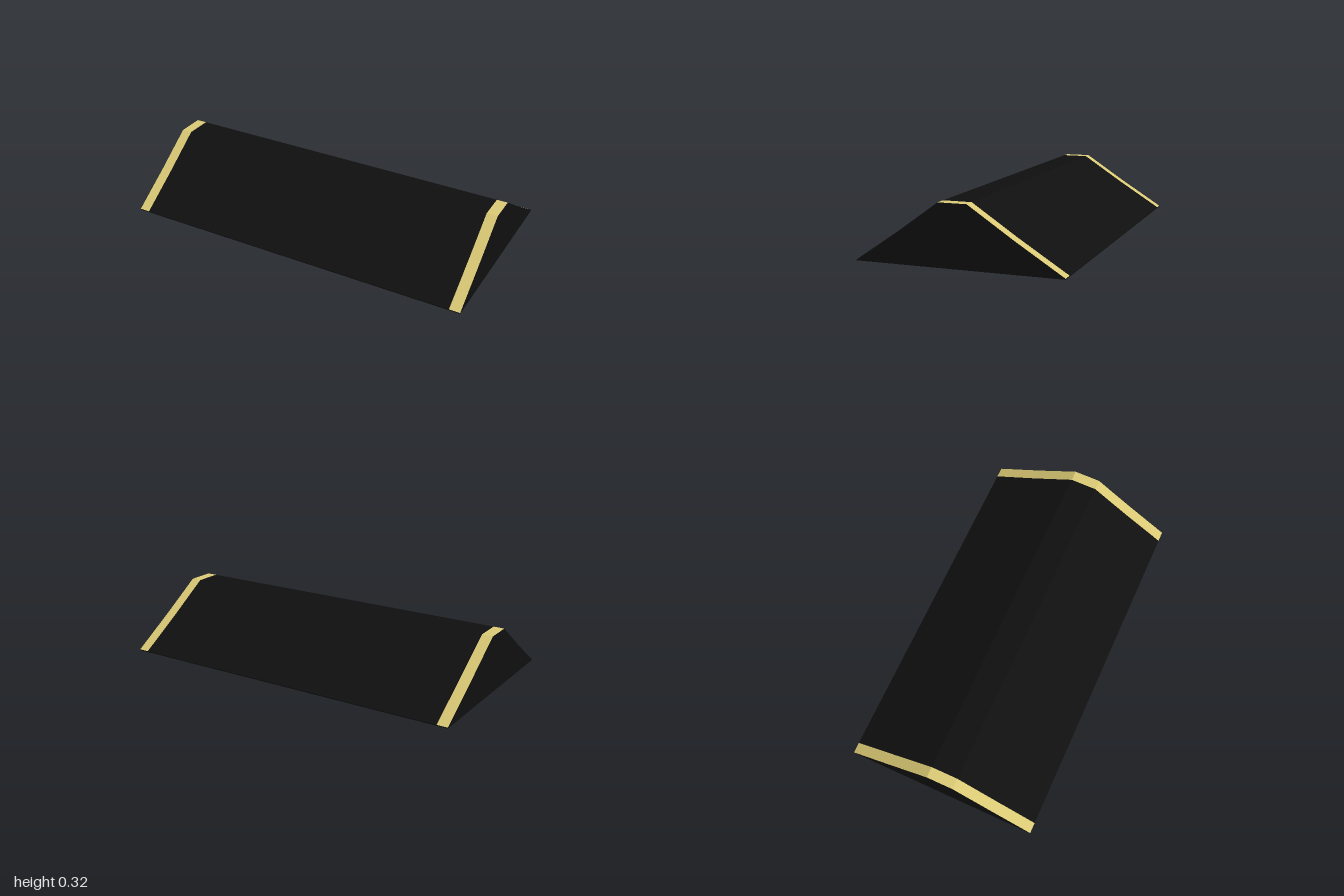
import * as THREE from 'three';

// Ramp outline as [z, y], from the front bottom edge over the top to the back bottom edge
const PROFILE = [
  [0.545, 0], [0.545, 0.005], [0.31, 0.165], [0.095, 0.32],
  [-0.055, 0.32], [-0.29, 0.165], [-0.545, 0.005], [-0.545, 0],
];
const HALF = 1;
const BAND = 0.06;

// Sweeps a run of outline points along x from x0 to x1
function panel(x0, x1, points) {
  const pos = [];
  for (let i = 0; i < points.length - 1; i++) {
    const [z0, y0] = points[i];
    const [z1, y1] = points[i + 1];
    const a = [x0, y0, z0], b = [x1, y0, z0], c = [x1, y1, z1], d = [x0, y1, z1];
    pos.push(...a, ...b, ...c, ...a, ...c, ...d);
  }
  const geometry = new THREE.BufferGeometry();
  geometry.setAttribute('position', new THREE.Float32BufferAttribute(pos, 3));
  geometry.computeVertexNormals();
  return geometry;
}

export function createModel() {
  const group = new THREE.Group();
  group.name = 'speedBump';
  const rubber = new THREE.MeshStandardMaterial({ color: 0x0f0f0f, flatShading: true });
  const yellow = new THREE.MeshStandardMaterial({ color: 0xd9c874, flatShading: true });

  const add = (name, geometry, material) => {
    const mesh = new THREE.Mesh(geometry, material);
    mesh.name = name;
    group.add(mesh);
    return mesh;
  };

  // Dark running surface between the marker bands
  const surface = PROFILE.slice(1, -1);
  add('rampSurface', panel(-HALF + BAND, HALF - BAND, surface), rubber);

  // Flat underside and the thin lips at front and back
  const last = PROFILE.length - 1;
  add('underside', panel(-HALF, HALF, [PROFILE[last - 1], PROFILE[last], PROFILE[0], PROFILE[1]]), rubber);

  // Yellow marker band and dark end face on each side
  for (const side of [1, -1]) {
    const label = side > 0 ? 'left' : 'right';
    const x0 = side > 0 ? HALF - BAND : -HALF;
    add(label + 'MarkerBand', panel(x0, x0 + BAND, surface), yellow);

    const outline = new THREE.Shape(PROFILE.map(([z, y]) => new THREE.Vector2(-side * z, y)));
    const end = add(label + 'EndFace', new THREE.ShapeGeometry(outline), rubber);
    end.rotation.y = side * Math.PI / 2;
    end.position.x = side * HALF;
  }
  return group;
}
